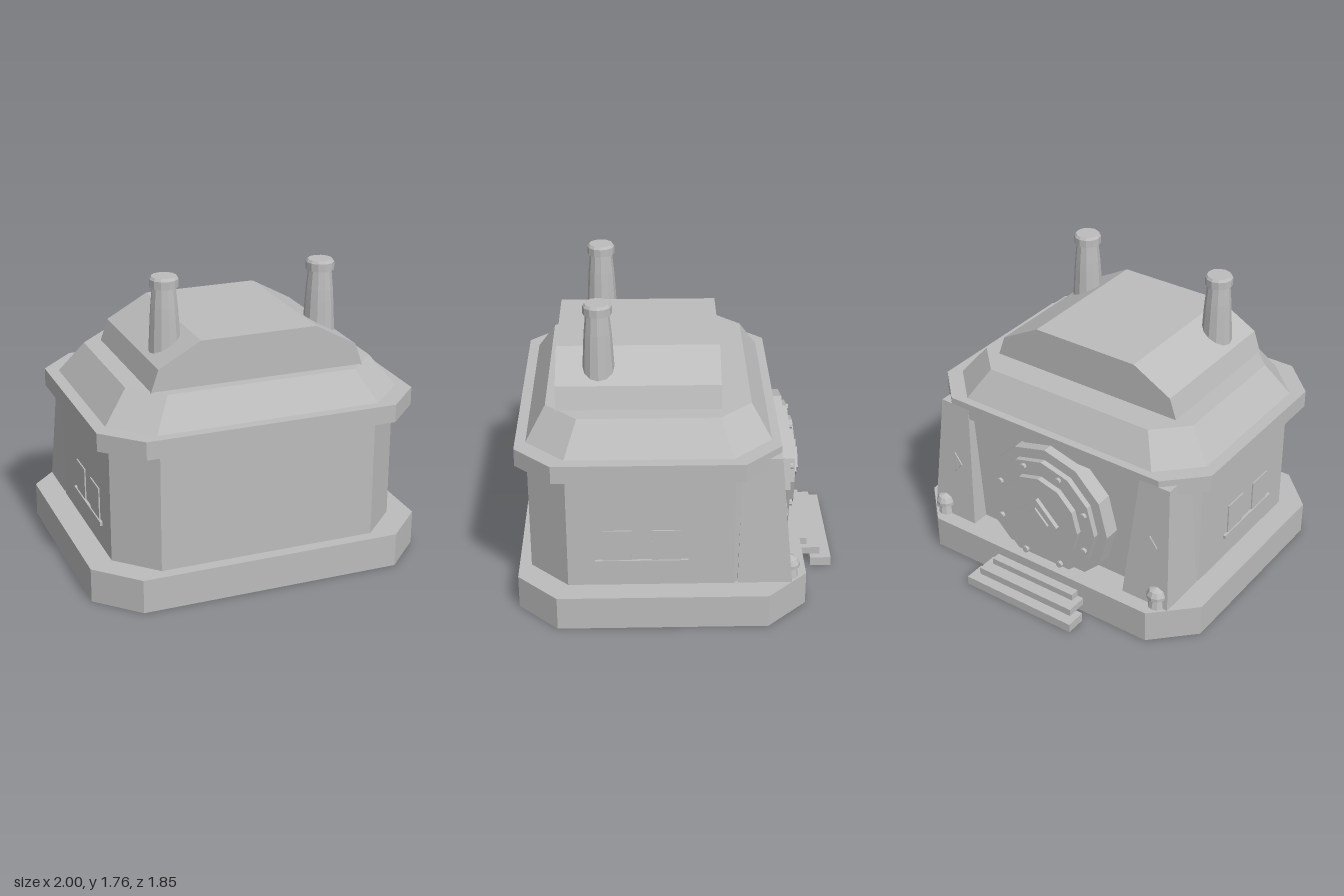
import * as THREE from 'three';

// Octagonal outline: rectangle with cut corners, counter-clockwise from above
const octagon = (x, front, back, c) => [
  [-x + c, front], [x - c, front], [x, front - c], [x, back + c],
  [x - c, back], [-x + c, back], [-x, back + c], [-x, front - c],
];
const rectangle = (x0, x1, front, back) => [[x0, front], [x1, front], [x1, back], [x0, back]];

// Solid between two horizontal outlines with the same number of corners
function loft(lower, upper, y0, y1, bottom = true) {
  const p = [];
  const n = lower.length;
  const lo = (i) => [lower[i % n][0], y0, lower[i % n][1]];
  const hi = (i) => [upper[i % n][0], y1, upper[i % n][1]];
  for (let i = 0; i < n; i++) {
    p.push(...lo(i), ...lo(i + 1), ...hi(i + 1), ...lo(i), ...hi(i + 1), ...hi(i));
    if (i > 0 && i < n - 1) {
      p.push(...hi(0), ...hi(i), ...hi(i + 1));
      if (bottom) p.push(...lo(0), ...lo(i + 1), ...lo(i));
    }
  }
  const g = new THREE.BufferGeometry();
  g.setAttribute('position', new THREE.Float32BufferAttribute(p, 3));
  g.computeVertexNormals();
  return g;
}

export function createModel() {
  const model = new THREE.Group();
  model.name = 'building';
  const stone = new THREE.MeshStandardMaterial({ color: 0xbcbcbc });
  stone.name = 'grey stone';
  stone.flatShading = true;
  stone.side = THREE.DoubleSide;

  const add = (name, geometry, x = 0, y = 0, z = 0) => {
    const mesh = new THREE.Mesh(geometry, stone);
    mesh.name = name;
    mesh.position.set(x, y, z);
    model.add(mesh);
    return mesh;
  };
  const box = (name, x0, x1, y0, y1, z0, z1) => add(name,
    new THREE.BoxGeometry(x1 - x0, y1 - y0, z1 - z0), (x0 + x1) / 2, (y0 + y1) / 2, (z0 + z1) / 2);
  // Disc whose axis points along z
  const disc = (name, r, x, y, front, back, sides) => add(name,
    new THREE.CylinderGeometry(r, r, front - back, sides).rotateX(Math.PI / 2), x, y, (front + back) / 2);

  // Plinth (open underneath), walls and eaves
  const plinth = octagon(1, 0.92, -0.73, 0.23);
  add('plinth', loft(plinth, plinth, 0, 0.2, false));
  const walls = octagon(0.86, 0.85, -0.53, 0.22);
  add('walls', loft(walls, walls, 0.2, 0.91));
  const eaves = octagon(0.945, 0.91, -0.57, 0.21);
  add('eaves', loft(eaves, eaves, 0.905, 1.01));

  // Sloping lower roof and ridge-shaped upper roof
  add('lowerRoof', loft(octagon(0.875, 0.85, -0.52, 0.22), octagon(0.735, 0.74, -0.41, 0.18), 1.01, 1.19));
  const profile = new THREE.Shape([[-0.63, 1.185], [0.63, 1.185], [0.585, 1.315], [0.34, 1.45],
    [-0.34, 1.45], [-0.585, 1.315]].map(([x, y]) => new THREE.Vector2(x, y)));
  add('upperRoof', new THREE.ExtrudeGeometry(profile, { depth: 0.92, bevelEnabled: false }), 0, 0, -0.24);

  // Round door of stacked discs on the back, with bolts and a diamond badge
  const doorY = 0.52;
  disc('doorFrame', 0.435, 0, doorY, -0.5, -0.63, 12);
  disc('doorRing', 0.37, 0, doorY, -0.62, -0.665, 12);
  disc('doorPanel', 0.275, 0, doorY, -0.65, -0.7, 12);
  disc('doorDiamond', 0.145, 0, doorY, -0.69, -0.725, 4);
  disc('doorDiamondCentre', 0.09, 0, doorY, -0.72, -0.737, 4);
  for (let i = 0; i < 8; i++) {
    const a = (i + 0.5) * Math.PI / 4;
    disc('doorBolt', 0.02, 0.325 * Math.cos(a), doorY + 0.325 * Math.sin(a), -0.66, -0.685, 8);
  }

  // Steps up to the door
  box('lowerStep', -0.378, 0.378, 0, 0.055, -0.925, -0.8);
  box('middleStep', -0.335, 0.335, 0.055, 0.1, -0.86, -0.72);
  box('upperStep', -0.295, 0.295, 0.1, 0.14, -0.785, -0.72);

  const lathe = (points, sides) =>
    new THREE.LatheGeometry(points.map(([r, y]) => new THREE.Vector2(r, y)), sides);

  for (const s of [-1, 1]) {
    // Tapered corner buttress with a diamond
    const span = (a, b) => (s > 0 ? [a, b] : [-b, -a]);
    add('buttress', loft(rectangle(...span(0.55, 0.858), -0.33, -0.64),
      rectangle(...span(0.61, 0.81), -0.35, -0.57), 0.2, 0.97));
    const diamond = disc('buttressDiamond', 0.065, s * 0.707, 0.58, 0.01, -0.01, 4);
    diamond.position.z = -0.603;
    diamond.rotation.x = 0.09;
    diamond.scale.x = 0.85;

    // Domed bollard
    add('bollard', lathe([[0.052, 0.2], [0.04, 0.265], [0.06, 0.265], [0.06, 0.285],
      [0.045, 0.315], [0, 0.33]], 10), s * 0.78, 0, -0.63);

    // Chimney with a collar
    add('chimney', lathe([[0.096, 1.25], [0.09, 1.36], [0.081, 1.53], [0.077, 1.59], [0.066, 1.7],
      [0.081, 1.7], [0.081, 1.745], [0.07, 1.76], [0, 1.76]], 12), s * 0.465, 0, 0.44);

    // Side windows and sill
    for (const z of [0.35, 0.073]) {
      box('window', ...span(0.859, 0.868), 0.365, 0.555, z - 0.082, z + 0.082);
    }
    box('windowSill', ...span(0.855, 0.876), 0.343, 0.366, -0.05, 0.475);
  }
  return model;
}
